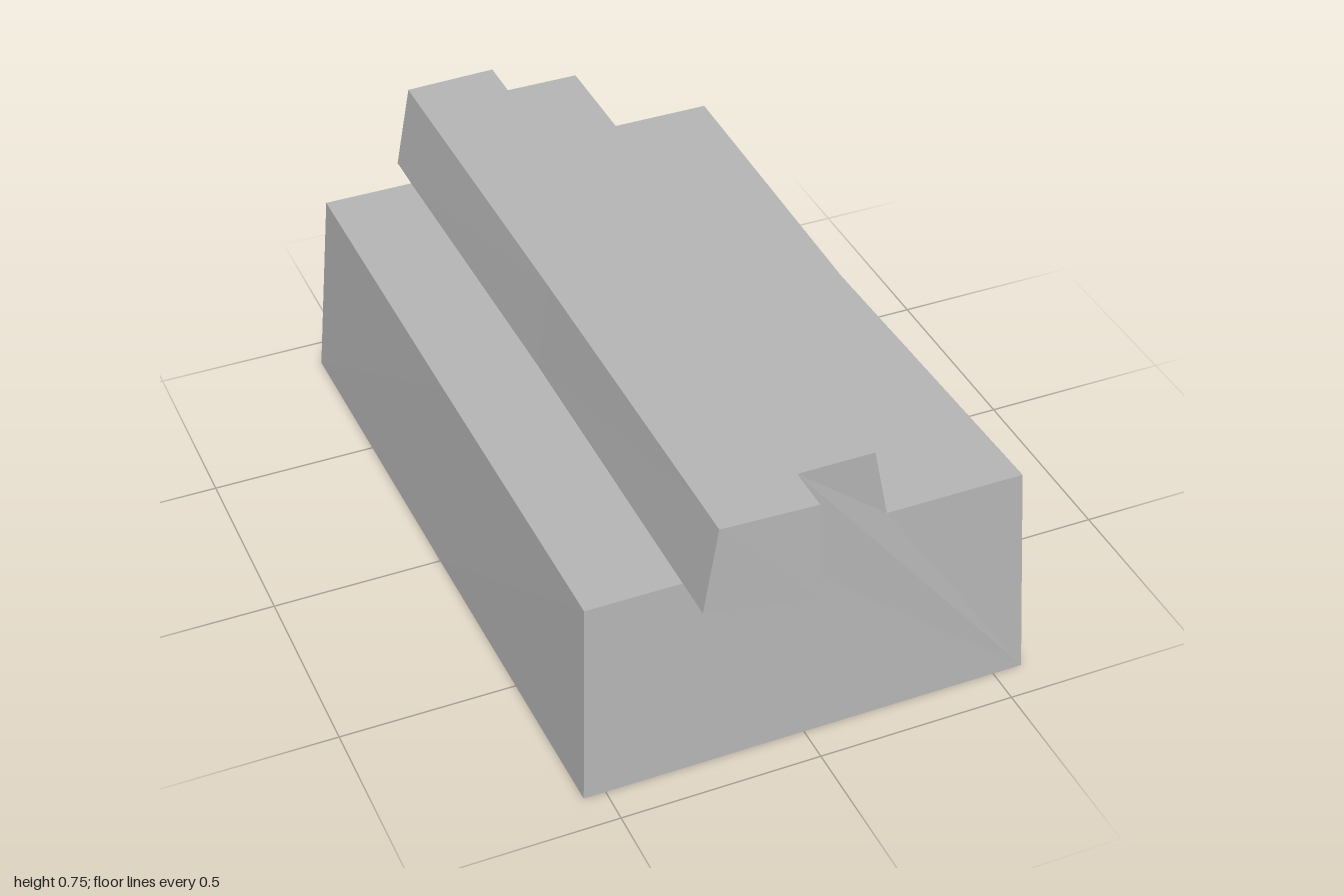
import * as THREE from 'three';

const grey = new THREE.MeshStandardMaterial({ color: 0xb5b5b5, side: THREE.DoubleSide });
grey.name = 'plain grey';

// Flat-shaded mesh from a list of triangles, each three [x, y, z] corners
function facetMesh(name, triangles) {
  const geometry = new THREE.BufferGeometry();
  geometry.setAttribute('position', new THREE.Float32BufferAttribute(triangles.flat(2), 3));
  geometry.computeVertexNormals();
  const mesh = new THREE.Mesh(geometry, grey);
  mesh.name = name;
  return mesh;
}

// Skin between neighbouring cross-sections, ordered back to front
function skin(sections, closed = false) {
  const out = [];
  for (let s = 0; s + 1 < sections.length; s++) {
    const [p, q] = [sections[s], sections[s + 1]];
    const n = p.length;
    for (let i = 0; i < (closed ? n : n - 1); i++) {
      const j = (i + 1) % n;
      out.push([p[i], q[i], q[j]], [p[i], q[j], p[j]]);
    }
  }
  return out;
}

// Flat end wall facing +z (side 1) or -z (side -1)
function cap(points, side) {
  const flat = points.map(([x, y]) => new THREE.Vector2(x, y));
  return THREE.ShapeUtils.triangulateShape(flat, []).map(([a, b, c]) => {
    const area = (flat[b].x - flat[a].x) * (flat[c].y - flat[a].y)
      - (flat[b].y - flat[a].y) * (flat[c].x - flat[a].x);
    return (area * side > 0 ? [a, b, c] : [a, c, b]).map((i) => points[i]);
  });
}

// End walls lean inwards towards the top
const wallZ = (y, side) => side * (0.91 - 0.035 * Math.min(y / 0.565, 1));
const onWall = (outline, side) => outline.map(([x, y]) => [x, y, wallZ(y, side)]);

// Stepped outline, from the foot on the right side over the ridge to the left foot
const backOutline = [[-0.58, 0], [-0.54, 0.53], [-0.305, 0.53], [-0.265, 0.75],
  [0.165, 0.75], [0.2, 0.565], [0.54, 0.565], [0.55, 0]];
const middleOutline = [[-0.568, 0], [-0.537, 0.53], [-0.295, 0.53], [-0.26, 0.75],
  [0.165, 0.75], [0.2, 0.565], [0.523, 0.565], [0.53, 0]];
const frontOutline = [[-0.554, 0], [-0.532, 0.53], [-0.298, 0.53], [-0.26, 0.75],
  [0.165, 0.75], [0.203, 0.565], [0.55, 0.565], [0.576, 0]];

export function createModel() {
  const model = new THREE.Group();
  model.name = 'steppedBlock';

  // Hollow body, open underneath, with a slightly pinched left side
  model.add(facetMesh('bodyShell', skin([
    onWall(backOutline, -1),
    middleOutline.map(([x, y]) => [x, y, 0]),
    onWall(frontOutline, 1),
  ])));

  for (const [end, side, outline] of [['front', 1, frontOutline], ['back', -1, backOutline]]) {
    // Ridge end: lower left, upper left, upper right, lower right
    const tab = [outline[2], outline[3], [-0.026, 0.75], [-0.021, 0.487]];

    // End wall, notched where the hollow ridge end passes through
    const wall = [...outline.slice(0, 3), tab[3], tab[2], ...outline.slice(4)];
    model.add(facetMesh(end + 'Wall', cap(onWall(wall, side), side)));

    // Ridge end standing out past the wall
    const inner = onWall(tab, side);
    const outer = tab.map(([x, y], i) => [x, y, side * [0.985, 0.98, 0.99, 1][i]]);
    const sections = side > 0 ? [inner, outer] : [outer, inner];
    model.add(facetMesh(end + 'RidgeEnd', [...skin(sections, true), ...cap(outer, side)]));
  }
  return model;
}
